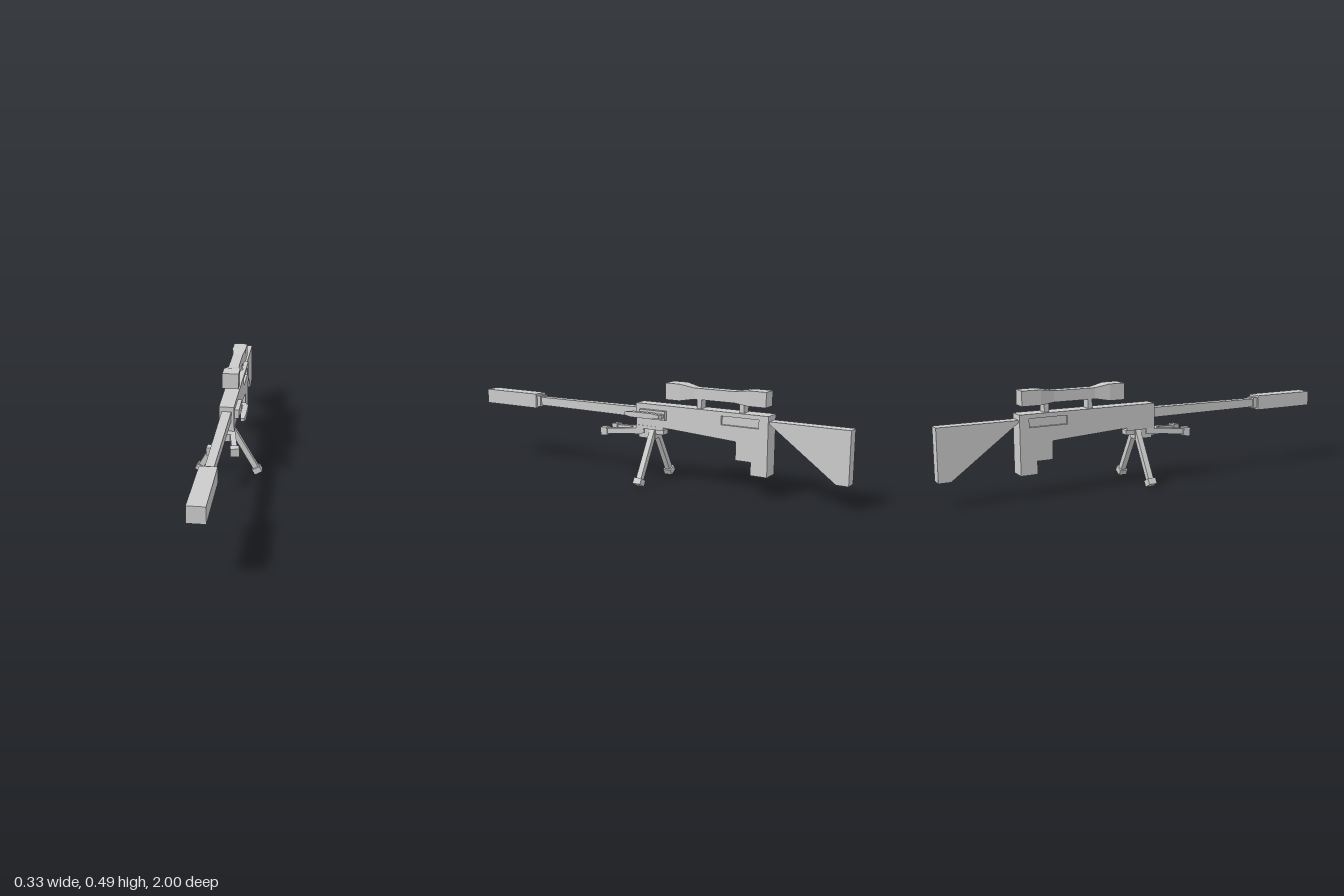
import * as THREE from 'three';

const material = new THREE.MeshStandardMaterial({ color: 0xcccccc, flatShading: true });

function add(parent, name, geometry) {
  geometry.computeVertexNormals();
  const mesh = new THREE.Mesh(geometry, material);
  mesh.name = name;
  parent.add(mesh);
  return mesh;
}

// Axis-aligned box given by its limits
function block(parent, name, x0, x1, y0, y1, z0, z1) {
  const g = new THREE.BoxGeometry(x1 - x0, y1 - y0, z1 - z0);
  g.translate((x0 + x1) / 2, (y0 + y1) / 2, (z0 + z1) / 2);
  return add(parent, name, g);
}

// Rectangular sections [z, bottom, top, width], listed from back to front
function loft(parent, name, sections, x = 0) {
  const n = sections.length - 1;
  const g = new THREE.BoxGeometry(1, 1, 1, 1, 1, n);
  const p = g.attributes.position;
  for (let i = 0; i < p.count; i++) {
    const [z, y0, y1, w] = sections[Math.round((p.getZ(i) + 0.5) * n)];
    p.setXYZ(i, x + p.getX(i) * w, p.getY(i) > 0 ? y1 : y0, z);
  }
  return add(parent, name, g.toNonIndexed());
}

// Bar between two points with a thicker foot at its far end
function limb(parent, name, from, to, width, foot, footLength) {
  const a = new THREE.Vector3(...from), b = new THREE.Vector3(...to);
  const length = a.distanceTo(b);
  const group = new THREE.Group();
  group.name = name;
  group.position.copy(a);
  group.lookAt(b);
  block(group, name + 'Bar', -width / 2, width / 2, -width / 2, width / 2, 0, length);
  block(group, name + 'Foot', -foot / 2, foot / 2, -foot / 2, foot / 2,
    length - footLength / 2, length + footLength / 2);
  parent.add(group);
}

// Receiver and magazine side profile with a side window, widening to the rear
function receiverGeometry() {
  const outline = [[0.05, 0.38], [-0.635, 0.38], [-0.635, 0.105], [-0.555, 0.105], [-0.555, 0.165],
    [-0.48, 0.165], [-0.48, 0.25], [-0.11, 0.272], [0.05, 0.272]];
  const toPoints = list => list.map(q => new THREE.Vector2(...q));
  const shape = new THREE.Shape(toPoints(outline));
  shape.holes.push(new THREE.Path(toPoints(
    [[-0.405, 0.32], [-0.59, 0.32], [-0.59, 0.36], [-0.405, 0.36]])));
  const g = new THREE.ExtrudeGeometry(shape, { depth: 1, bevelEnabled: false });
  g.translate(0, 0, -0.5).rotateY(-Math.PI / 2);
  const p = g.attributes.position;
  for (let i = 0; i < p.count; i++) {
    p.setX(i, p.getX(i) * (0.071 + 0.01 * (0.05 - p.getZ(i)) / 0.685));
  }
  return g;
}

export function createModel() {
  const model = new THREE.Group();
  model.name = 'scopedRifle';

  // Upper body sits a touch askew
  const body = new THREE.Group();
  body.name = 'body';
  body.position.x = -0.002;
  body.rotation.y = -0.009;
  model.add(body);

  add(body, 'receiver', receiverGeometry());
  block(body, 'windowPanel', -0.026, 0.026, 0.315, 0.365, -0.595, -0.4);

  // Barrel
  loft(body, 'barrel', [[0.03, 0.309, 0.357, 0.046], [0.66, 0.312, 0.353, 0.038]]);
  block(body, 'barrelCollar', -0.028, 0.028, 0.305, 0.36, 0.645, 0.68);
  block(body, 'muzzle', -0.038, 0.038, 0.297, 0.37, 0.667, 1);

  // Stock
  loft(body, 'stock', [[-1, 0.115, 0.355, 0.058], [-0.945, 0.115, 0.355, 0.058],
    [-0.63, 0.348, 0.355, 0.056]]);

  // Scope with two mounts
  loft(body, 'scope', [[-0.62, 0.415, 0.484, 0.07], [-0.53, 0.415, 0.484, 0.07],
    [-0.465, 0.422, 0.474, 0.052], [-0.26, 0.422, 0.474, 0.052],
    [-0.19, 0.41, 0.488, 0.08], [-0.115, 0.41, 0.488, 0.08]]);
  for (const z of [-0.285, -0.5]) {
    block(body, 'scopeMount', -0.024, 0.024, 0.375, 0.43, z - 0.011, z + 0.011);
  }

  // Side bolt: plate on the receiver, link and outer rod
  block(body, 'boltPlate', 0.034, 0.057, 0.312, 0.355, -0.12, 0.02);
  loft(body, 'boltLink', [[-0.115, 0.322, 0.342, 0.03], [-0.085, 0.322, 0.342, 0.03]], 0.065);
  loft(body, 'boltRod', [[-0.105, 0.325, 0.34, 0.016], [-0.07, 0.32, 0.346, 0.027],
    [0.045, 0.32, 0.346, 0.027], [0.085, 0.325, 0.34, 0.016]], 0.079);

  // Bipod mount
  block(model, 'mountPlate', -0.036, 0.036, 0.258, 0.274, -0.1, 0.05);
  block(model, 'mountBlock', -0.025, 0.025, 0.212, 0.262, -0.05, 0.04);
  block(model, 'mountNose', -0.022, 0.022, 0.222, 0.258, 0.03, 0.09);
  block(model, 'mountTail', -0.02, 0.02, 0.235, 0.262, -0.095, -0.04);

  // Splayed legs and forward arms, mirrored
  for (const s of [-1, 1]) {
    limb(model, 'leg', [s * 0.012, 0.25, -0.033], [s * 0.142, 0.0245, -0.033], 0.027, 0.041, 0.03);
    limb(model, 'forwardArm', [s * 0.02, 0.248, 0.01], [s * 0.053, 0.231, 0.216], 0.026, 0.041, 0.034);
  }
  return model;
}
